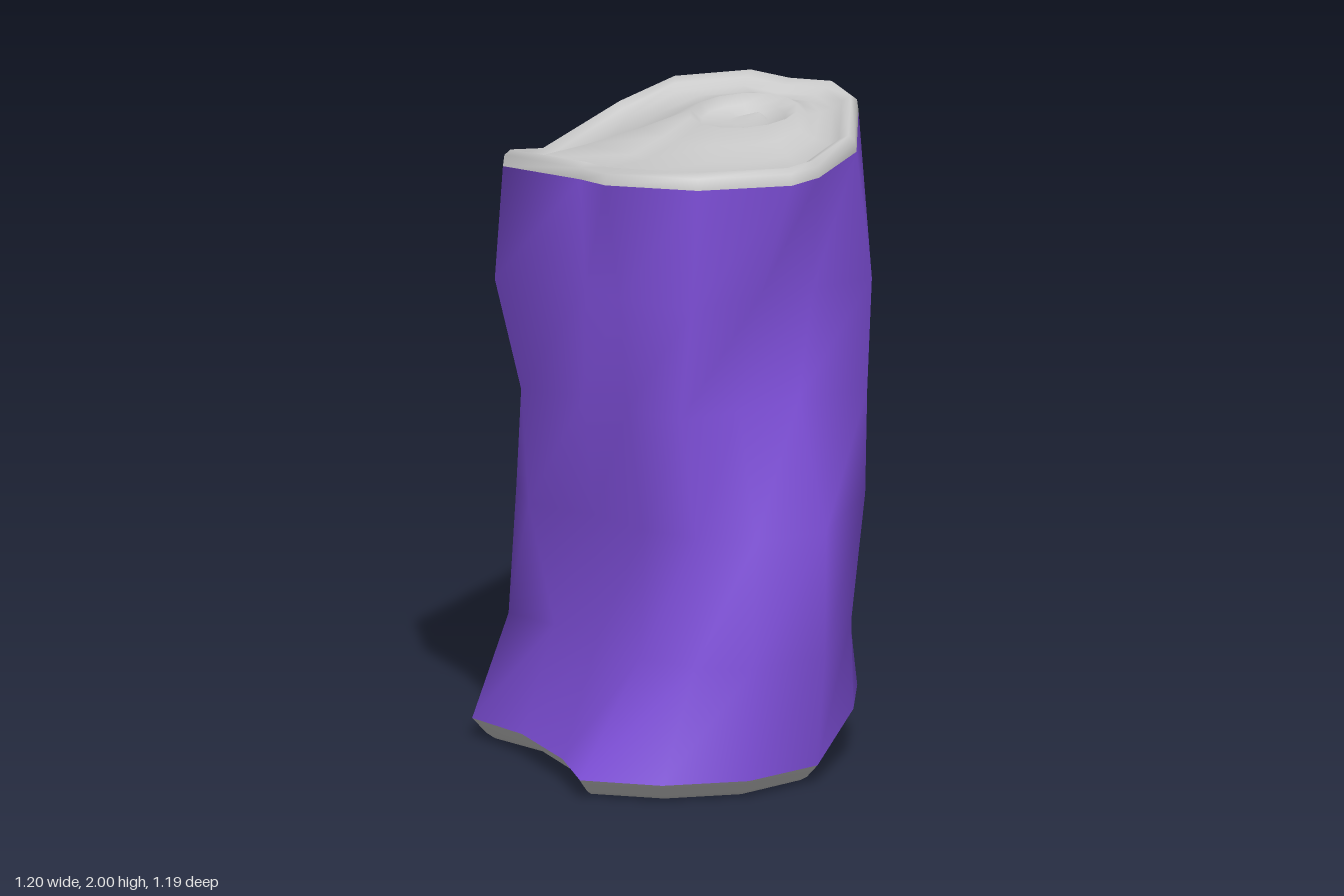
import * as THREE from 'three';

const N = 14; // columns around the can

// Ring of [x, y, z] from x,z pairs; y is one height or one per column
const ring = (y, xz) => Array.from({ length: N }, (_, i) =>
  [xz[2 * i], Array.isArray(y) ? y[i] : y, xz[2 * i + 1]]);

// Copy of a ring moved inward by d and up by dy
const inset = (r, d, dy) => r.map(([x, y, z]) => {
  const k = 1 - d / Math.hypot(x, z);
  return [x * k, y + dy, z * k];
});

// Blend between two rings, with a height offset
const mix = (a, b, t, dy) => a.map((p, i) =>
  p.map((v, k) => v + (b[i][k] - v) * t + (k === 1 ? dy : 0)));

// Round ring, higher at the back by the tilt
const circle = (cx, cz, r, y, tilt = 0) => Array.from({ length: N }, (_, i) => {
  const a = 0.2 + (i / N) * Math.PI * 2;
  return [cx + r * Math.cos(a), y - tilt * Math.sin(a), cz + r * Math.sin(a)];
});

// Smooth skin through closed rings
function skin(name, rings, color) {
  const index = [];
  for (let r = 0; r < rings.length - 1; r++) {
    for (let i = 0; i < N; i++) {
      const j = (i + 1) % N;
      const a = r * N + i, b = r * N + j, c = a + N, d = b + N;
      index.push(a, c, b, b, c, d);
    }
  }
  const geo = new THREE.BufferGeometry();
  geo.setAttribute('position', new THREE.Float32BufferAttribute(rings.flat(2), 3));
  geo.setIndex(index);
  geo.computeVertexNormals();
  const mesh = new THREE.Mesh(geo, new THREE.MeshStandardMaterial({ color, side: THREE.DoubleSide }));
  mesh.name = name;
  return mesh;
}

export function createModel() {
  // Dented outlines from the base to the top, twisting slightly
  const base = ring([0.06, 0.06, 0.06, 0.06, 0.07, 0.07, 0.06, 0.06, 0.06, 0.06, 0.06, 0.07, 0.17, 0.17], [
    0.57, -0.08, 0.58, 0.19, 0.46, 0.43, 0.26, 0.59, 0.07, 0.51, -0.22, 0.44, -0.48, 0.43,
    -0.6, 0.19, -0.59, -0.08, -0.48, -0.33, -0.26, -0.49, 0, -0.56, 0.25, -0.48, 0.45, -0.31]);
  const low = ring([0.4, 0.4, 0.4, 0.4, 0.4, 0.4, 0.4, 0.4, 0.4, 0.45, 0.5, 0.53, 0.53, 0.45], [
    0.58, -0.1, 0.56, 0.16, 0.43, 0.28, 0.25, 0.35, 0.03, 0.35, -0.2, 0.33, -0.39, 0.36,
    -0.47, 0.12, -0.48, -0.1, -0.45, -0.29, -0.25, -0.42, 0, -0.445, 0.24, -0.44, 0.44, -0.31]);
  const waist = ring([0.8, 0.8, 0.8, 0.8, 0.8, 0.8, 0.8, 0.8, 0.8, 0.85, 0.9, 0.93, 0.93, 0.85], [
    0.6, -0.09, 0.55, 0.14, 0.42, 0.27, 0.24, 0.33, 0.02, 0.35, -0.2, 0.43, -0.39, 0.33,
    -0.49, 0.1, -0.47, -0.14, -0.43, -0.32, -0.25, -0.42, -0.04, -0.425, 0.2, -0.425, 0.47, -0.34]);
  const chest = ring(1.18, [
    0.45, -0.1, 0.44, 0.12, 0.41, 0.32, 0.22, 0.38, 0.02, 0.39, -0.16, 0.49, -0.42, 0.28,
    -0.6, -0.09, -0.48, -0.33, -0.26, -0.48, -0.13, -0.52, 0, -0.55, 0.2, -0.53, 0.48, -0.34]);
  const shoulder = ring(1.53, [
    0.47, -0.14, 0.45, 0.05, 0.44, 0.3, 0.21, 0.4, 0.03, 0.39, -0.2, 0.56, -0.35, 0.28,
    -0.46, -0.08, -0.4, -0.27, -0.24, -0.44, -0.12, -0.52, 0, -0.59, 0.16, -0.56, 0.49, -0.35]);
  const top = ring([1.9, 1.9, 1.9, 1.9, 1.87, 1.895, 1.83, 1.86, 1.93, 1.95, 1.95, 1.95, 1.94, 1.92], [
    0.54, -0.11, 0.56, 0.01, 0.43, 0.27, 0.21, 0.455, 0.03, 0.41, -0.16, 0.56, -0.3, 0.33,
    -0.49, -0.13, -0.41, -0.29, -0.26, -0.48, -0.11, -0.52, 0, -0.6, 0.14, -0.57, 0.44, -0.33]);

  // Rolled top rim, lid swelling to a raised lip, and the hollow inside it
  const lidEdge = inset(top, 0.085, 0.015);
  const lip = circle(0.01, -0.23, 0.165, 1.97, 0.012);
  const lid = [
    top, inset(top, 0.005, 0.035), inset(top, 0.025, 0.05), inset(top, 0.055, 0.035), lidEdge,
    mix(lidEdge, lip, 0.35, -0.01), mix(lidEdge, lip, 0.7, -0.01), lip,
    circle(0.01, -0.23, 0.13, 1.945, 0.01), circle(0, -0.26, 0.06, 1.93), circle(-0.03, -0.32, 0.001, 1.94)];

  // Tapered foot and hollow underside with a steep wall
  const foot = inset(base, 0.1, -0.03);
  const dome = circle(0, 0, 0.25, 0.12);
  const bottom = [
    circle(0, 0, 0.001, 0.125), dome, mix(foot, dome, 0.35, 0.045), mix(foot, dome, 0.12, 0.035), foot,
    inset(base, 0.07, -0.06), inset(base, 0.045, -0.045), base];

  const group = new THREE.Group();
  group.name = 'crushedCan';
  group.add(
    skin('body', [base, low, waist, chest, shoulder, top], 0x8050dc),
    skin('topRimAndLid', lid, 0xcccccc),
    skin('bottomRim', bottom, 0xcccccc));
  return group;
}
